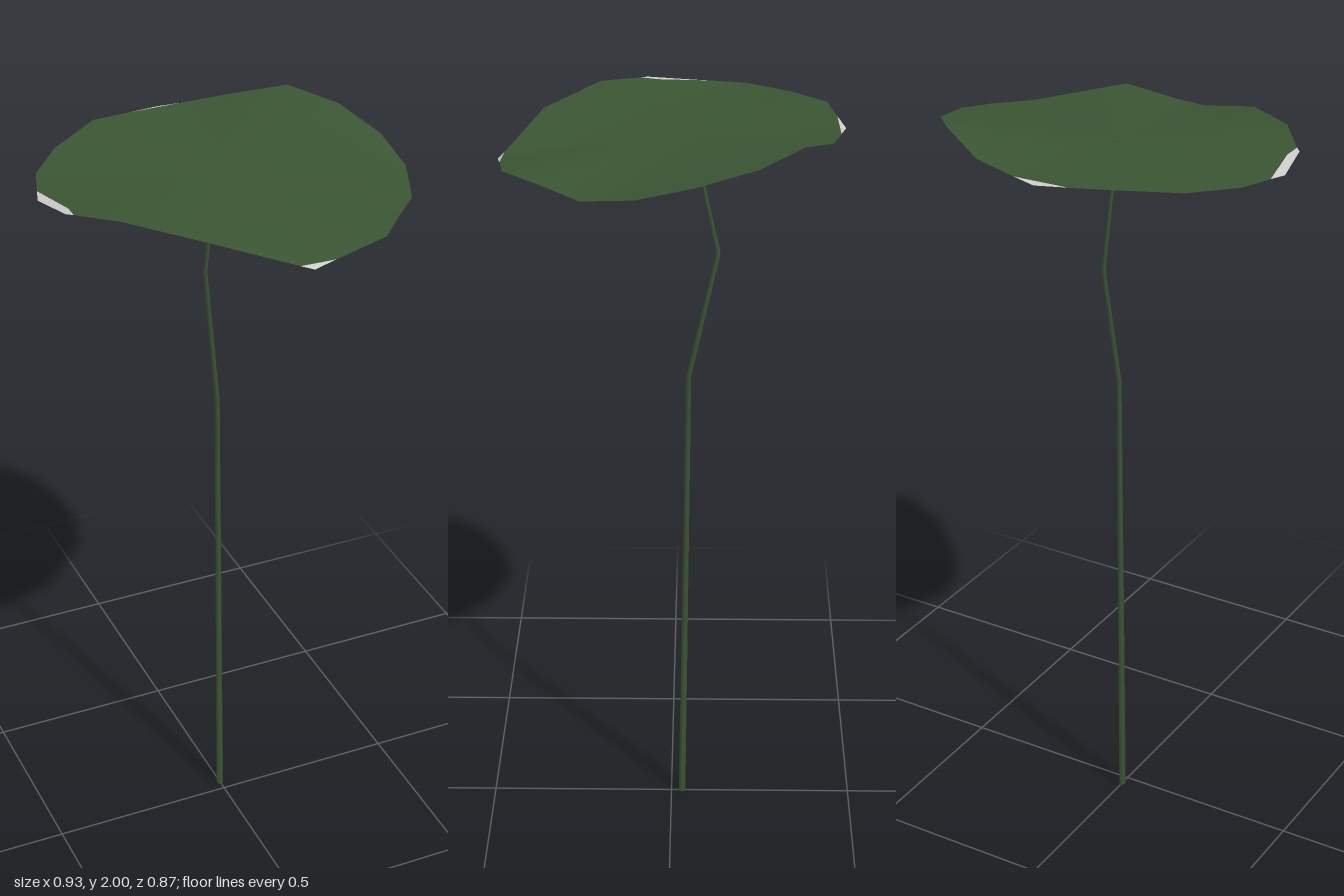
import * as THREE from 'three';

const leafGreen = new THREE.MeshStandardMaterial({ color: 0x3b5533, side: THREE.DoubleSide });
leafGreen.name = 'leafGreen';
const paleEdge = new THREE.MeshStandardMaterial({ color: 0xcccccc, side: THREE.DoubleSide });
paleEdge.name = 'paleEdge';

// Surface fanned from a hub point to a rim running clockwise as seen from above
function fan(hub, rim, closed) {
  const index = [];
  const n = rim.length;
  for (let i = 0; i < (closed ? n : n - 1); i++) index.push(0, ((i + 1) % n) + 1, i + 1);
  return surface([hub, ...rim], index);
}

function surface(points, index) {
  const g = new THREE.BufferGeometry();
  g.setAttribute('position', new THREE.Float32BufferAttribute(points.flat(), 3));
  g.setIndex(index);
  g.computeVertexNormals();
  return g;
}

// Tapering stem: horizontal rings along a bent path of [y, z, radius]
function stemGeometry(path, sides) {
  const points = [], index = [];
  path.forEach(([y, z, r], j) => {
    for (let i = 0; i < sides; i++) {
      const a = (i / sides) * Math.PI * 2;
      points.push([r * Math.cos(a), y, z + r * Math.sin(a)]);
      if (j === 0) continue;
      const k = (i + 1) % sides, lo = (j - 1) * sides, hi = j * sides;
      index.push(lo + i, hi + i, lo + k, lo + k, hi + i, hi + k);
    }
  });
  return surface(points, index);
}

export function createModel() {
  const group = new THREE.Group();
  group.name = 'lilyLeaf';
  const add = (name, geometry, material) => {
    const mesh = new THREE.Mesh(geometry, material);
    mesh.name = name;
    group.add(mesh);
  };

  // Points where the pale edge patches meet the green blade
  const backA = [-0.085, 1.955, -0.417], backB = [0.065, 1.955, -0.42];
  const frontA = [0.1, 1.89, 0.423], frontB = [0.01, 1.888, 0.417];
  const leftA = [-0.425, 1.957, 0.087], leftB = [-0.45, 1.942, -0.1];
  const leftInner = [-0.422, 1.953, 0.04];

  // Wavy blade
  const rim = [
    backB, [0.185, 1.968, -0.395], [0.32, 2.0, -0.32], [0.415, 1.975, -0.21],
    [0.46, 1.945, -0.06], [0.46, 1.915, 0.08], [0.41, 1.895, 0.21], [0.32, 1.905, 0.31],
    [0.24, 1.913, 0.405], frontA, frontB, [-0.18, 1.945, 0.33], [-0.345, 1.97, 0.19],
    leftA, leftInner, leftB, [-0.42, 1.945, -0.19], [-0.33, 1.95, -0.3],
    [-0.19, 1.962, -0.395], backA,
  ];
  add('blade', fan([0, 1.937, -0.05], rim, true), leafGreen);

  // Pale patches on the rim
  add('backEdgePatch', fan([0, 1.954, -0.412], [backA, [0, 1.95, -0.435], backB]), paleEdge);
  add('frontEdgePatch', fan([0.05, 1.888, 0.418], [frontA, [0.04, 1.88, 0.432], frontB]), paleEdge);
  add('leftEdgePatch',
    fan(leftInner, [leftA, [-0.44, 1.955, 0.07], [-0.465, 1.94, -0.055], leftB]), paleEdge);

  // Bent stem
  const path = [[0, -0.03, 0.01], [1.28, -0.045, 0.007], [1.62, -0.12, 0.006], [1.938, -0.05, 0.004]];
  add('stem', stemGeometry(path, 5), leafGreen);

  return group;
}
